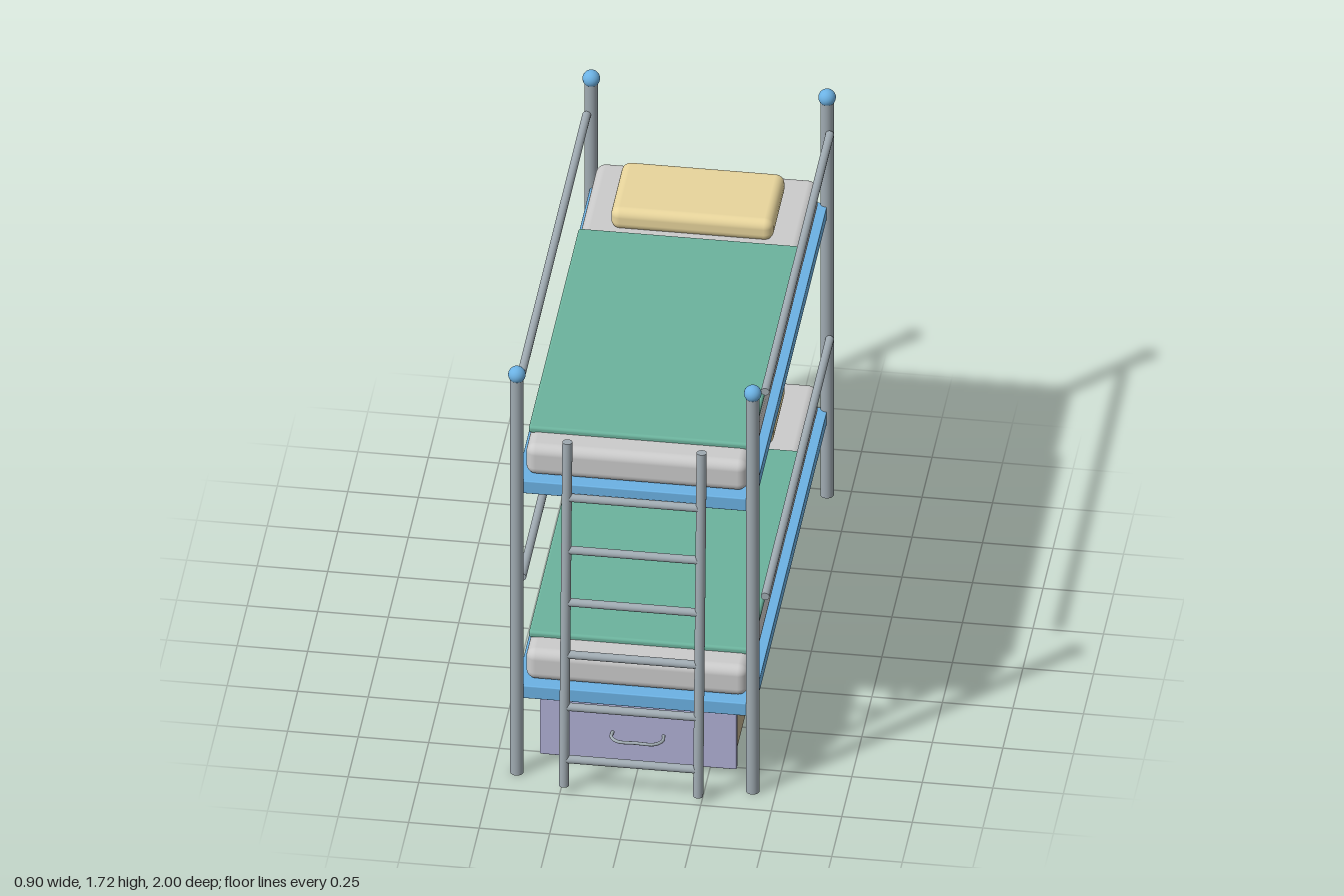
import * as THREE from 'three';
import { RoundedBoxGeometry } from 'three/addons/geometries/RoundedBoxGeometry.js';

const paint = (color) => new THREE.MeshStandardMaterial({ color });
const steel = paint(0xa0abb2);
const blue = paint(0x6cb2e4);
const cloth = paint(0xcccccc);
const green = paint(0x6cb39d);
const cream = paint(0xe8d59c);
const lilac = paint(0xb0b0d6);
const wood = paint(0xbfae8c);

function add(parent, name, geometry, material) {
  const mesh = new THREE.Mesh(geometry, material);
  mesh.name = name;
  parent.add(mesh);
  return mesh;
}

// Box given by its extents along each axis, with rounded edges
function slab(parent, name, [x0, x1], [y0, y1], [z0, z1], radius, material) {
  const geometry = new RoundedBoxGeometry(x1 - x0, y1 - y0, z1 - z0, 4, radius);
  geometry.translate((x0 + x1) / 2, (y0 + y1) / 2, (z0 + z1) / 2);
  return add(parent, name, geometry, material);
}

// Round bar between two points
function bar(parent, name, from, to, radius, material) {
  const a = new THREE.Vector3(...from);
  const b = new THREE.Vector3(...to);
  const dir = b.clone().sub(a);
  const mesh = add(parent, name, new THREE.CylinderGeometry(radius, radius, dir.length(), 24), material);
  mesh.position.copy(a).add(b).multiplyScalar(0.5);
  mesh.quaternion.setFromUnitVectors(new THREE.Vector3(0, 1, 0), dir.normalize());
  return mesh;
}

// One sleeping level; base is the underside of its frame
function createBunk(name, base) {
  const bunk = new THREE.Group();
  bunk.name = name;
  slab(bunk, 'bedFrame', [-0.42, 0.42], [0, 0.053], [-0.972, 0.885], 0.004, blue);
  slab(bunk, 'mattress', [-0.393, 0.393], [0.053, 0.178], [-0.943, 0.855], 0.035, cloth);
  slab(bunk, 'blanket', [-0.395, 0.395], [0.17, 0.197], [-0.49, 0.757], 0.01, green);
  slab(bunk, 'pillow', [-0.288, 0.288], [0.172, 0.258], [-0.848, -0.523], 0.032, cream);
  for (const side of [-1, 1]) {
    bar(bunk, 'guardRail', [side * 0.431, 0.365, -0.945], [side * 0.431, 0.365, 0.668], 0.015, steel);
  }
  bunk.position.y = base;
  return bunk;
}

function createLadder() {
  const ladder = new THREE.Group();
  ladder.name = 'ladder';
  const bottom = { y: 0.025, z: 0.98 };
  const top = { y: 1.427, z: 0.893 };
  for (const side of [-1, 1]) {
    bar(ladder, 'ladderRail', [side * 0.238, bottom.y, bottom.z], [side * 0.238, top.y, top.z], 0.018, steel);
  }
  for (let i = 0; i < 6; i++) {
    const y = 0.133 + i * 0.2135;
    const z = THREE.MathUtils.mapLinear(y, bottom.y, top.y, bottom.z, top.z);
    bar(ladder, 'rung', [-0.238, y, z], [0.238, y, z], 0.015, steel);
  }
  return ladder;
}

function createDrawer() {
  const drawer = new THREE.Group();
  drawer.name = 'drawer';
  slab(drawer, 'drawerBox', [-0.335, 0.335], [0.035, 0.257], [-0.765, 0.77], 0.008, wood);
  slab(drawer, 'drawerFront', [-0.349, 0.349], [0.025, 0.263], [0.768, 0.802], 0.006, lilac);
  // Bent pull handle
  const path = new THREE.CatmullRomCurve3([
    [-0.09, 0.795], [-0.09, 0.835], [-0.065, 0.859], [0, 0.86], [0.065, 0.859], [0.09, 0.835], [0.09, 0.795],
  ].map(([x, z]) => new THREE.Vector3(x, 0.145, z)));
  add(drawer, 'drawerHandle', new THREE.TubeGeometry(path, 40, 0.006, 10), steel);
  return drawer;
}

export function createModel() {
  const model = new THREE.Group();
  model.name = 'bunkBed';

  // Corner posts with ball caps
  for (const x of [-0.418, 0.418]) {
    for (const z of [-0.969, 0.885]) {
      bar(model, 'post', [x, 0, z], [x, 1.685, z], 0.024, steel);
      add(model, 'postBall', new THREE.SphereGeometry(0.031, 24, 16), blue).position.set(x, 1.692, z);
    }
  }

  model.add(createBunk('lowerBunk', 0.315), createBunk('upperBunk', 1.187));
  model.add(createLadder(), createDrawer());
  return model;
}
